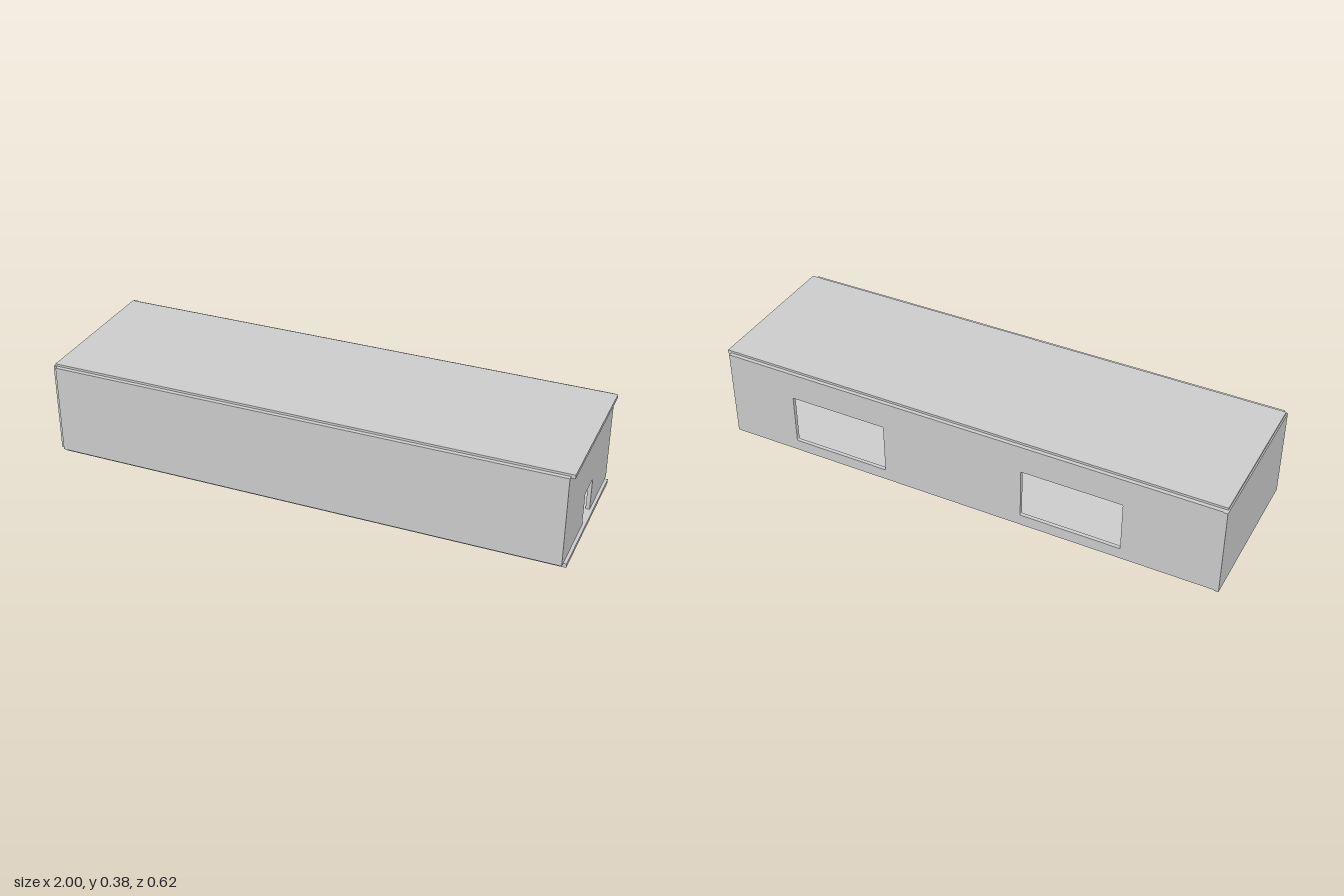
import * as THREE from 'three';

const material = new THREE.MeshStandardMaterial({ color: 0xcccccc, flatShading: true });
const T = 0.015; // wall thickness

// Box given by its limits on each axis
function slab(name, [x0, x1], [y0, y1], [z0, z1]) {
  const mesh = new THREE.Mesh(new THREE.BoxGeometry(x1 - x0, y1 - y0, z1 - z0), material);
  mesh.name = name;
  mesh.position.set((x0 + x1) / 2, (y0 + y1) / 2, (z0 + z1) / 2);
  return mesh;
}

// Upright panel in the xy plane, extruded along +z
function panel(name, shape) {
  const geometry = new THREE.ExtrudeGeometry(shape, { depth: T, bevelEnabled: false, curveSegments: 3 });
  const mesh = new THREE.Mesh(geometry, material);
  mesh.name = name;
  return mesh;
}

// Window opening with slightly rounded corners
function opening(x0, x1, y0, y1, r = 0.004) {
  const p = new THREE.Path();
  p.moveTo(x0 + r, y0);
  p.lineTo(x1 - r, y0);
  p.quadraticCurveTo(x1, y0, x1, y0 + r);
  p.lineTo(x1, y1 - r);
  p.quadraticCurveTo(x1, y1, x1 - r, y1);
  p.lineTo(x0 + r, y1);
  p.quadraticCurveTo(x0, y1, x0, y1 - r);
  p.lineTo(x0, y0 + r);
  p.quadraticCurveTo(x0, y0, x0 + r, y0);
  return p;
}

export function createModel() {
  const building = new THREE.Group();
  building.name = 'building';
  const wallY = [0.016, 0.37];

  // Floor and roof plates, closed walls
  building.add(
    slab('floor', [-0.984, 0.997], [0, 0.016], [-0.29, 0.293]),
    slab('roof', [-0.995, 1], [0.363, 0.378], [-0.293, 0.295]),
    slab('frontWall', [-0.985, 0.985], wallY, [0.296, 0.312]),
    slab('closedEndWall', [-1, -0.984], wallY, [-0.312, 0.3])
  );

  // Back wall with two windows
  const back = new THREE.Shape([
    new THREE.Vector2(-0.984, wallY[0]), new THREE.Vector2(0.985, wallY[0]),
    new THREE.Vector2(0.985, wallY[1]), new THREE.Vector2(-0.984, wallY[1])
  ]);
  for (const x of [-0.63, 0.32]) back.holes.push(opening(x, x + 0.39, 0.06, 0.26));
  const backWall = panel('backWallWithWindows', back);
  backWall.position.z = -0.309;
  building.add(backWall);

  // End wall with a doorway open at the bottom; shape x runs along -z
  const end = new THREE.Shape();
  const [a, b, top, r] = [-0.0375, 0.066, 0.146, 0.004];
  end.moveTo(-0.296, wallY[0]);
  end.lineTo(a, wallY[0]);
  end.lineTo(a, top - r);
  end.quadraticCurveTo(a, top, a + r, top);
  end.lineTo(b - r, top);
  end.quadraticCurveTo(b, top, b, top - r);
  end.lineTo(b, wallY[0]);
  end.lineTo(0.294, wallY[0]);
  end.lineTo(0.294, 0.363);
  end.lineTo(-0.296, 0.363);
  end.closePath();
  const endWall = panel('endWallWithDoorway', end);
  endWall.rotation.y = Math.PI / 2;
  endWall.position.x = 0.985 - T;
  building.add(endWall);

  return building;
}
